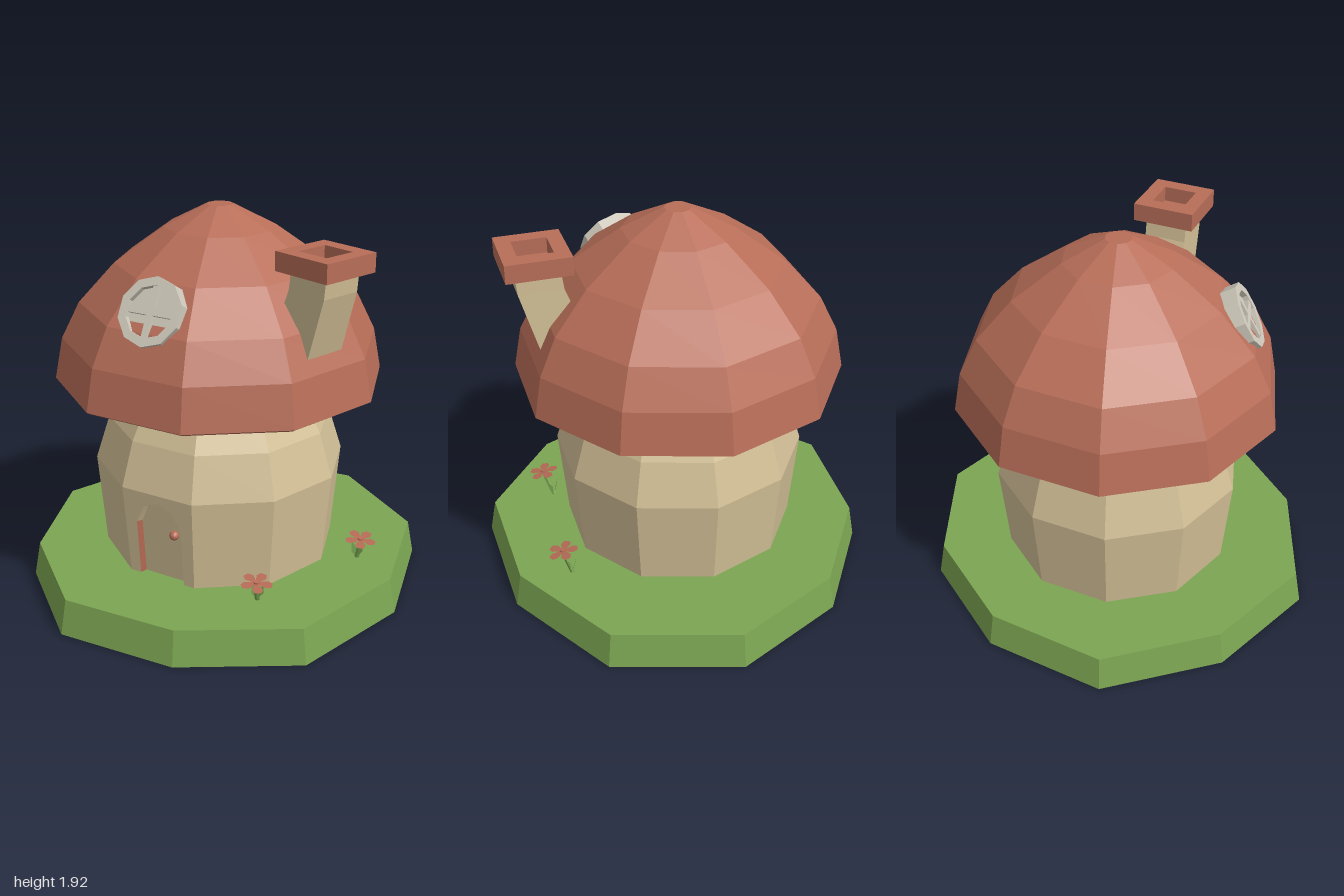
import * as THREE from 'three';

const mat = (name, color, side = THREE.FrontSide) =>
  Object.assign(new THREE.MeshStandardMaterial({ color, flatShading: true, side }), { name });

// Skin between rings of [x, y, z] points (counter-clockwise from above, bottom to top)
function loft(rings, closed = true) {
  const pos = [];
  const n = rings[0].length;
  for (let j = 0; j < rings.length - 1; j++) {
    for (let i = 0; i < (closed ? n : n - 1); i++) {
      const k = (i + 1) % n;
      const [a, b, c, d] = [rings[j][i], rings[j][k], rings[j + 1][k], rings[j + 1][i]];
      pos.push(...a, ...b, ...c, ...a, ...c, ...d);
    }
  }
  const g = new THREE.BufferGeometry();
  g.setAttribute('position', new THREE.Float32BufferAttribute(pos, 3));
  g.computeVertexNormals();
  return g;
}

const lathe = (pts, seg = 10, start = Math.PI / 2, len = Math.PI * 2) =>
  new THREE.LatheGeometry(pts.map(([r, y]) => new THREE.Vector2(r, y)), seg, start, len);

const shapeOf = (pts) => new THREE.Shape(pts.map(([x, y]) => new THREE.Vector2(x, y)));

const ngon = (r, n, offset) => Array.from({ length: n }, (_, i) => {
  const a = offset + (i / n) * Math.PI * 2;
  return [r * Math.cos(a), r * Math.sin(a)];
});

// Flat outline with a hole, given thickness
function frame(outer, inner, depth) {
  const s = shapeOf(outer);
  s.holes.push(shapeOf(inner));
  return new THREE.ExtrudeGeometry(s, { depth, bevelEnabled: false });
}

export function createModel() {
  const root = new THREE.Group();
  const red = mat('roof red', 0xb86e58);
  const redThin = mat('petal and trim red', 0xb46a54, THREE.DoubleSide);
  const tan = mat('wall tan', 0xd2bf96);
  const tanThin = mat('door tan', 0xcebb92, THREE.DoubleSide);
  const green = mat('grass green', 0x7ba552);
  const leafGreen = mat('leaf green', 0x6a9648, THREE.DoubleSide);
  const grey = mat('window grey', 0xcfcabc);

  const add = (parent, name, geo, material, x = 0, y = 0, z = 0) => {
    const m = new THREE.Mesh(geo, material);
    m.name = name;
    m.position.set(x, y, z);
    parent.add(m);
    return m;
  };
  const group = (name, x = 0, y = 0, z = 0) => {
    const g = new THREE.Group();
    g.name = name;
    g.position.set(x, y, z);
    root.add(g);
    return g;
  };

  // Uneven ten-sided grass base
  const rim = [[1, .01], [.85, -.62], [.32, -1], [-.29, -.94], [-.77, -.57],
    [-1, .01], [-.77, .6], [-.3, .99], [.3, .95], [.82, .63]];
  const rimAt = (s, y) => rim.map(([x, z]) => [x * s, y, z * s]);
  add(root, 'grassBase', loft([rimAt(0, 0), rimAt(1, 0), rimAt(.967, .175), rimAt(0, .175)]), green);

  // Mushroom stem walls: the lower band leaves out the front face for the door panel
  add(root, 'lowerWall', lathe([[.59, .175], [.63, .64]], 9, Math.PI / 10, Math.PI * 1.8), tan);
  add(root, 'upperWall', lathe([[.63, .64], [.56, .86], [.44, 1.08]]), tan);

  // Mushroom cap
  add(root, 'roof', lathe([[0, 1.06], [.79, 1.06], [.815, 1.075], [.775, 1.28], [.685, 1.46],
    [.51, 1.65], [.27, 1.82], [.065, 1.925], [0, 1.925]]), red);

  // Front wall panel with a recessed arched door
  const entry = group('entry', 0, .175, .561);
  entry.rotation.x = Math.atan(.038 / .465);
  const arch = [[-.125, 0], [-.125, .295], [-.08, .39], [0, .425], [.08, .39], [.125, .295], [.125, 0]];
  const inset = arch.map(([x, y]) => [x * .9, y * .975]);
  add(entry, 'frontWall', new THREE.ShapeGeometry(shapeOf(
    [[-.182, 0], ...arch, [.182, 0], [.195, .4666], [-.195, .4666]])), tan);
  const jamb = (a, b) => loft([
    arch.slice(a, b).map(([x, y]) => [x, y, 0]),
    inset.slice(a, b).map(([x, y]) => [x, y, -.03])], false);
  add(entry, 'leftJamb', jamb(0, 2), redThin);
  add(entry, 'rightJamb', jamb(5, 7), redThin);
  add(entry, 'archJamb', jamb(1, 6), tanThin);
  add(entry, 'door', new THREE.ShapeGeometry(shapeOf(inset)), tanThin, 0, 0, -.03);
  add(entry, 'doorKnob', new THREE.IcosahedronGeometry(.024, 1), red, .08, .265, -.01);

  // Round window with a cross, tilted with the roof
  const win = group('roundWindow', 0, 1.555, .62);
  win.rotation.x = -.5;
  const turn = Math.PI / 10;
  add(win, 'windowFrame', frame(ngon(.163, 10, turn), ngon(.122, 10, turn), .11), grey, 0, 0, -.11);
  add(win, 'windowPane', new THREE.CircleGeometry(.13, 10, turn), grey, 0, 0, -.028);
  add(win, 'verticalBar', new THREE.BoxGeometry(.03, .24, .03), grey, 0, 0, -.02);
  add(win, 'horizontalBar', new THREE.BoxGeometry(.24, .03, .03), grey, 0, 0, -.02);

  // Bent chimney, local x pointing outward from the roof
  const chimney = group('chimney');
  chimney.rotation.y = -Math.PI / 10;
  const section = (y, d0, d1, t) => [[d0, y, t], [d1, y, t], [d1, y, -t], [d0, y, -t]];
  add(chimney, 'chimneyShaft', loft([section(1.3, .44, .688, .112), section(1.35, .46, .704, .11),
    section(1.64, .572, .785, .106), section(1.74, .585, .795, .105)]), tan);
  const cap = add(chimney, 'chimneyCap',
    frame(ngon(.155 * Math.SQRT2, 4, Math.PI / 4), ngon(.083 * Math.SQRT2, 4, Math.PI / 4), .09),
    red, .688, 1.73, 0);
  cap.rotation.x = -Math.PI / 2;
  add(chimney, 'chimneyFloor', new THREE.BoxGeometry(.18, .01, .18), red, .688, 1.74, 0);

  // Two small flowers with five flat petals
  const petal = shapeOf([[.008, -.008], [.05, -.026], [.075, -.015], [.075, .015], [.05, .026], [.008, .008]]);
  const leaf = shapeOf([[0, 0], [.018, .035], [0, .09], [-.018, .035]]);
  for (const [x, z, footX, footZ, spin] of [[.515, .55, .49, .49, .3], [.765, -.08, .735, -.115, .1]]) {
    const flower = group('flower');
    const path = new THREE.QuadraticBezierCurve3(new THREE.Vector3(footX, .17, footZ),
      new THREE.Vector3(x - .015, .22, z - .03), new THREE.Vector3(x, .3, z));
    add(flower, 'flowerStem', new THREE.TubeGeometry(path, 4, .012, 5), green);
    [-1, 1].forEach((s) => {
      const l = add(flower, 'flowerLeaf', new THREE.ShapeGeometry(leaf), leafGreen, footX, .175, footZ);
      l.rotation.set(.3 * s, .8, -.5 * s);
    });
    const head = new THREE.Group();
    head.name = 'flowerHead';
    head.position.set(x, .3, z);
    head.rotation.set(.12, 0, -.12);
    flower.add(head);
    for (let i = 0; i < 5; i++) {
      const p = add(head, 'petal', new THREE.ShapeGeometry(petal), redThin);
      p.rotation.set(-Math.PI / 2, 0, spin + (i / 5) * Math.PI * 2);
    }
    add(head, 'flowerCentre', new THREE.CylinderGeometry(.014, .014, .016, 6), red);
  }
  return root;
}
